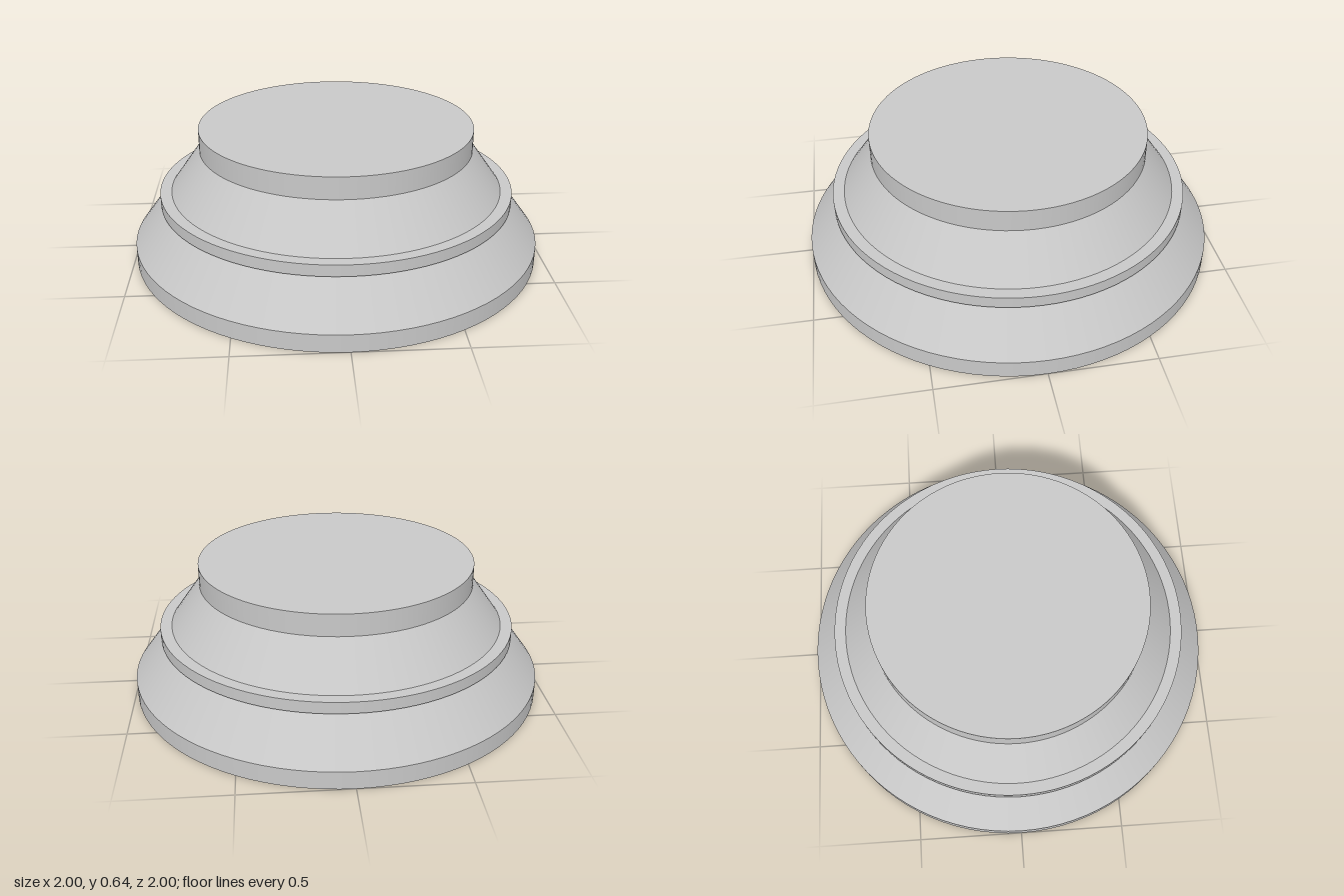
import * as THREE from 'three';

const SEGMENTS = 96;

export function createModel() {
  const model = new THREE.Group();
  model.name = 'steppedPedestal';
  const grey = new THREE.MeshStandardMaterial({ color: 0xc8c8c8 });
  grey.name = 'light grey';

  // Adds one round tier between two heights
  const addTier = (name, bottomRadius, topRadius, bottom, top, open = false) => {
    const geometry = new THREE.CylinderGeometry(topRadius, bottomRadius, top - bottom, SEGMENTS, 1, open);
    const tier = new THREE.Mesh(geometry, grey);
    tier.name = name;
    tier.position.y = (bottom + top) / 2;
    model.add(tier);
  };

  addTier('basePlinth', 1, 1, 0, 0.085);
  addTier('lowerSlope', 1, 0.855, 0.085, 0.28, true);
  addTier('middleRing', 0.865, 0.865, 0.28, 0.335);
  addTier('upperSlope', 0.81, 0.665, 0.335, 0.537, true);
  addTier('topDisc', 0.665, 0.665, 0.537, 0.642);

  return model;
}
